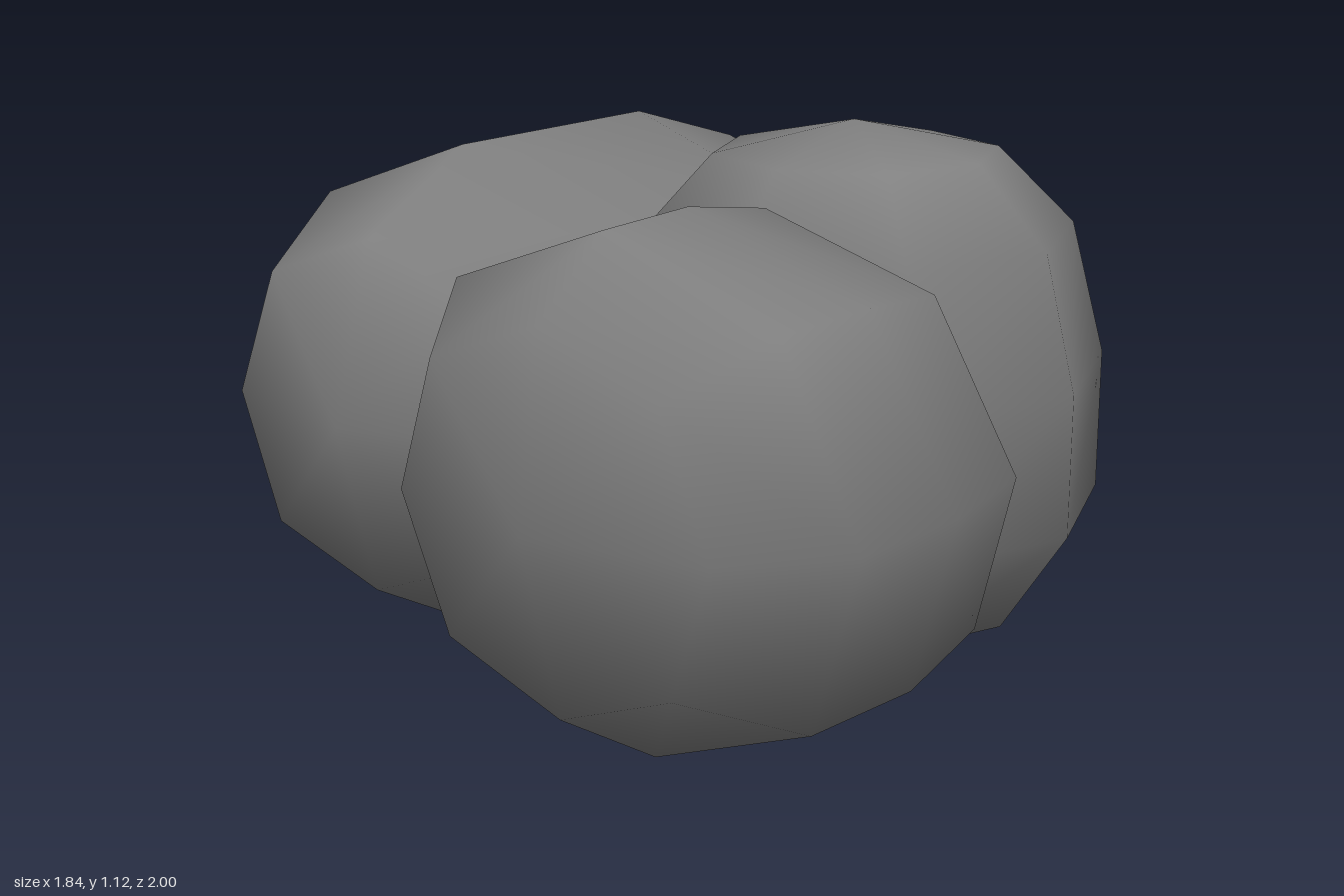
import * as THREE from 'three';

const SIDES = 8;
const DIAGONAL = 1.03; // the diagonal corners of each octagon bulge slightly

// Closed smooth pebble: octagonal rings [x, y, z, radius, tiltX, tiltY] run from +z to -z,
// capped by the two end points [x, y, z].
function pebble(name, frontTip, rings, backTip) {
  const points = [...frontTip];
  for (const [cx, cy, cz, r, tiltX = 0, tiltY = 0] of rings) {
    for (let i = 0; i < SIDES; i++) {
      const a = (i / SIDES) * Math.PI * 2;
      const reach = i % 2 ? r * DIAGONAL : r;
      const dx = reach * Math.cos(a), dy = reach * Math.sin(a);
      points.push(cx + dx, cy + dy, cz + dx * tiltX + dy * tiltY);
    }
  }
  points.push(...backTip);

  const index = [];
  const at = (k, i) => 1 + k * SIDES + (i % SIDES);
  const last = rings.length - 1, end = 1 + rings.length * SIDES;
  for (let i = 0; i < SIDES; i++) {
    index.push(0, at(0, i), at(0, i + 1));
    for (let k = 0; k < last; k++) {
      index.push(at(k, i), at(k + 1, i), at(k, i + 1));
      index.push(at(k, i + 1), at(k + 1, i), at(k + 1, i + 1));
    }
    index.push(end, at(last, i + 1), at(last, i));
  }

  const geometry = new THREE.BufferGeometry();
  geometry.setAttribute('position', new THREE.Float32BufferAttribute(points, 3));
  geometry.setIndex(index);
  geometry.computeVertexNormals();
  const mesh = new THREE.Mesh(geometry, new THREE.MeshStandardMaterial({ color: 0x808080 }));
  mesh.name = name;
  return mesh;
}

export function createModel() {
  const group = new THREE.Group();
  group.name = 'pebbleCluster';

  // Long pebble lying front to back
  group.add(pebble('longPebble', [-0.41, 0.545, 0.63], [
    [-0.41, 0.545, 0.522, 0.362],
    [-0.41, 0.545, 0.23, 0.51],
    [-0.41, 0.55, -0.36, 0.496],
    [-0.408, 0.555, -0.7, 0.392],
    [-0.407, 0.555, -0.925, 0.228],
  ], [-0.41, 0.555, -1]));

  // Round front pebble, its rings leaning back towards the rear
  group.add(pebble('frontPebble', [0.36, 0.56, 1], [
    [0.367, 0.56, 0.927, 0.363, 0.07, 0.07],
    [0.392, 0.56, 0.725, 0.507, 0.05, 0.14],
    [0.403, 0.56, 0.46, 0.513, 0.02, 0.21],
    [0.41, 0.567, 0.22, 0.468, -0.04, 0.25],
    [0.425, 0.59, 0.08, 0.31, -0.15, 0.26],
  ], [0.42, 0.6, 0.03]));

  // Upright pebble: modelled along z, then turned so its first tip points down
  const upright = pebble('uprightPebble', [0.21, -0.285, 0], [
    [0.21, -0.285, -0.08, 0.363],
    [0.215, -0.28, -0.3, 0.51],
    [0.232, -0.262, -0.6, 0.507],
    [0.26, -0.212, -0.89, 0.437],
    [0.283, -0.165, -1.06, 0.284],
  ], [0.29, -0.145, -1.125]);
  upright.geometry.rotateX(Math.PI / 2);
  group.add(upright);

  return group;
}
